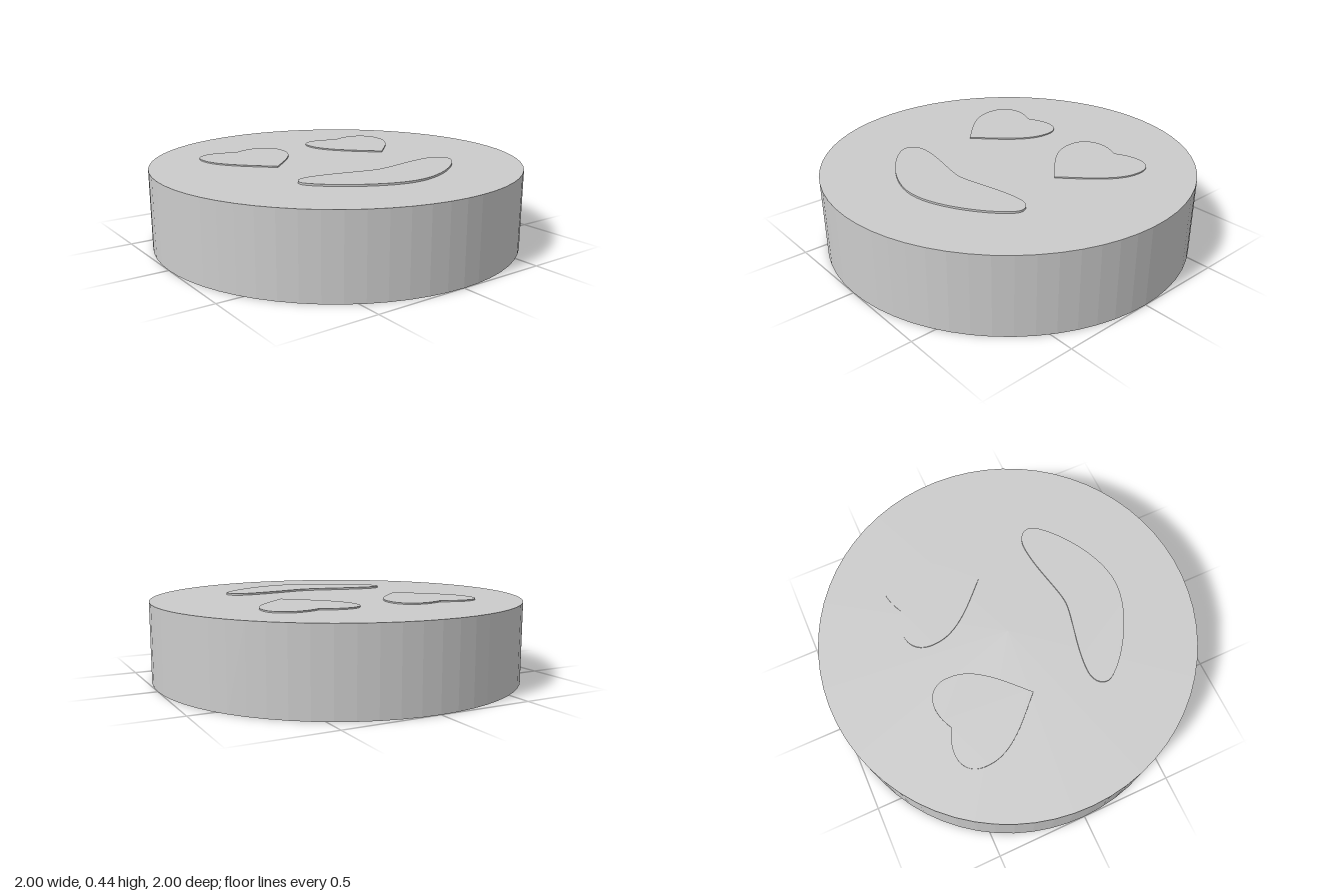
import * as THREE from 'three';

const TOP = 0.425;
const material = new THREE.MeshStandardMaterial({ color: 0xcccccc, flatShading: true });

// Closed outline, mirrored about x = 0, from the cubic curves of its right half.
// Each curve is four [x, z] points; depth z runs towards the front.
function mirroredShape(halfCurves) {
  const half = [];
  for (const pts of halfCurves) {
    const [a, b, c, d] = pts.map(([x, z]) => new THREE.Vector2(x, -z));
    const points = new THREE.CubicBezierCurve(a, b, c, d).getPoints(16);
    half.push(...(half.length ? points.slice(1) : points));
  }
  const other = half.slice(1, -1).reverse().map((p) => new THREE.Vector2(-p.x, p.y));
  return new THREE.Shape([...half, ...other]);
}

// Thin raised plate lying on the disc
function raisedPlate(name, shape, height, x) {
  const sunk = 0.01;
  const geometry = new THREE.ExtrudeGeometry(shape, { depth: height + sunk, bevelEnabled: false });
  geometry.rotateX(-Math.PI / 2);
  const mesh = new THREE.Mesh(geometry, material);
  mesh.name = name;
  mesh.position.set(x, TOP - sunk, 0);
  return mesh;
}

export function createModel() {
  const group = new THREE.Group();
  group.name = 'faceDisc';

  // Thick faceted disc
  const disc = new THREE.Mesh(new THREE.CylinderGeometry(1, 1, TOP, 64), material);
  disc.name = 'disc';
  disc.position.y = TOP / 2;
  group.add(disc);

  // Heart-shaped eyes, tips towards the mouth
  const heart = mirroredShape([
    [[0, -0.02], [0.1, -0.12], [0.25, -0.24], [0.25, -0.38]],
    [[0.25, -0.38], [0.26, -0.5], [0.15, -0.56], [0, -0.475]],
  ]);
  group.add(raisedPlate('rightEye', heart, 0.007, -0.36));
  group.add(raisedPlate('leftEye', heart, 0.007, 0.34));

  // Wide smiling mouth
  const smile = mirroredShape([
    [[0, 0.645], [0.22, 0.645], [0.485, 0.42], [0.485, 0.355]],
    [[0.485, 0.355], [0.485, 0.32], [0.46, 0.283], [0.39, 0.283]],
    [[0.39, 0.283], [0.26, 0.283], [0.08, 0.348], [0, 0.348]],
  ]);
  group.add(raisedPlate('mouth', smile, 0.01, 0.02));

  return group;
}
